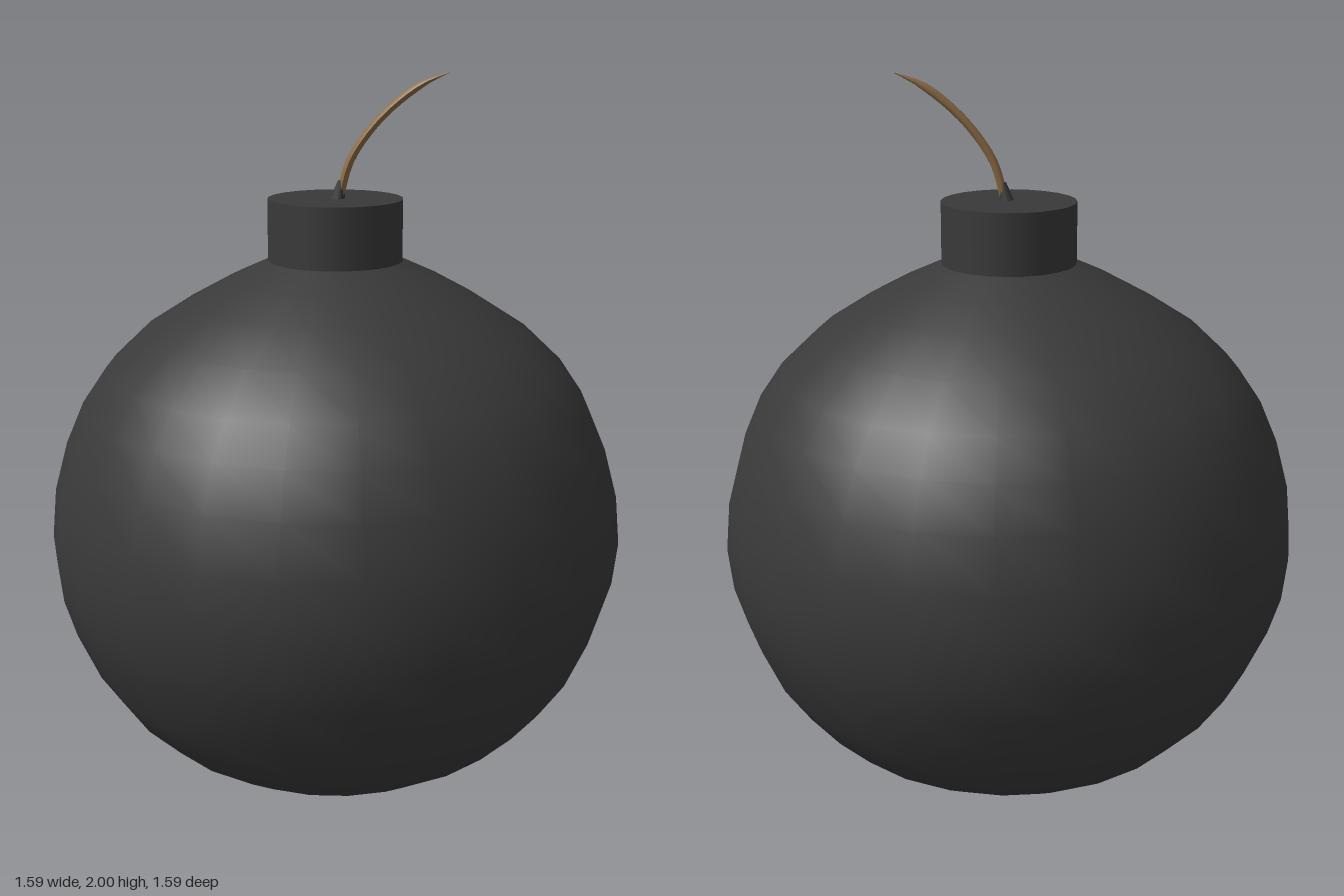
import * as THREE from 'three';

const bodyMat = new THREE.MeshStandardMaterial({ color: 0x393939 });
bodyMat.name = 'darkIron';
const fuseMat = new THREE.MeshStandardMaterial({ color: 0x8a6a44 });
fuseMat.name = 'brownCord';

function addMesh(group, name, geometry, material) {
  const mesh = new THREE.Mesh(geometry, material);
  mesh.name = name;
  group.add(mesh);
  return mesh;
}

const lathe = (points) =>
  new THREE.LatheGeometry(points.map(([r, y]) => new THREE.Vector2(r, y)), 24);

// Cord that narrows to a flattened tip
function taperedTube(curve, radius, segments, sides) {
  const geometry = new THREE.TubeGeometry(curve, segments, radius, sides, false);
  const pos = geometry.attributes.position;
  const v = new THREE.Vector3();
  for (let i = 0; i <= segments; i++) {
    const t = i / segments;
    const centre = curve.getPointAt(t);
    const scale = t > 0.8 ? 1 - 0.9 * (t - 0.8) / 0.2 : 1;
    for (let j = 0; j <= sides; j++) {
      const k = i * (sides + 1) + j;
      v.fromBufferAttribute(pos, k).sub(centre).multiplyScalar(scale).add(centre);
      pos.setXYZ(k, v.x, v.y, v.z);
    }
  }
  geometry.computeVertexNormals();
  return geometry;
}

export function createModel() {
  const group = new THREE.Group();
  group.name = 'roundBomb';

  // Ball, slightly flattened toward the shoulders
  addMesh(group, 'ball', lathe([
    [0, 0], [0.135, 0.01], [0.275, 0.045], [0.4, 0.095], [0.52, 0.17],
    [0.617, 0.265], [0.69, 0.37], [0.75, 0.505], [0.782, 0.61], [0.795, 0.73],
    [0.782, 0.865], [0.745, 1.0], [0.695, 1.115], [0.63, 1.21], [0.525, 1.31],
    [0.4, 1.39], [0.29, 1.45], [0.18, 1.5],
  ]), bodyMat);

  // Neck with a flat lid
  const neck = addMesh(group, 'neck', new THREE.CylinderGeometry(0.183, 0.183, 0.19, 24), bodyMat);
  neck.position.y = 1.57;

  // Small dark socket around the foot of the fuse
  const socket = addMesh(group, 'fuseSocket', new THREE.CylinderGeometry(0.009, 0.02, 0.05, 8), bodyMat);
  socket.position.set(0.012, 1.688, 0.005);
  socket.rotation.z = -0.2;

  // Curved fuse leaning to the model's left
  const path = new THREE.CatmullRomCurve3([
    [0.008, 1.65], [0.04, 1.765], [0.1, 1.855], [0.165, 1.92], [0.235, 1.97], [0.3, 1.997],
  ].map(([x, y]) => new THREE.Vector3(x, y, 0.005)));
  addMesh(group, 'fuse', taperedTube(path, 0.012, 16, 6), fuseMat);

  return group;
}
